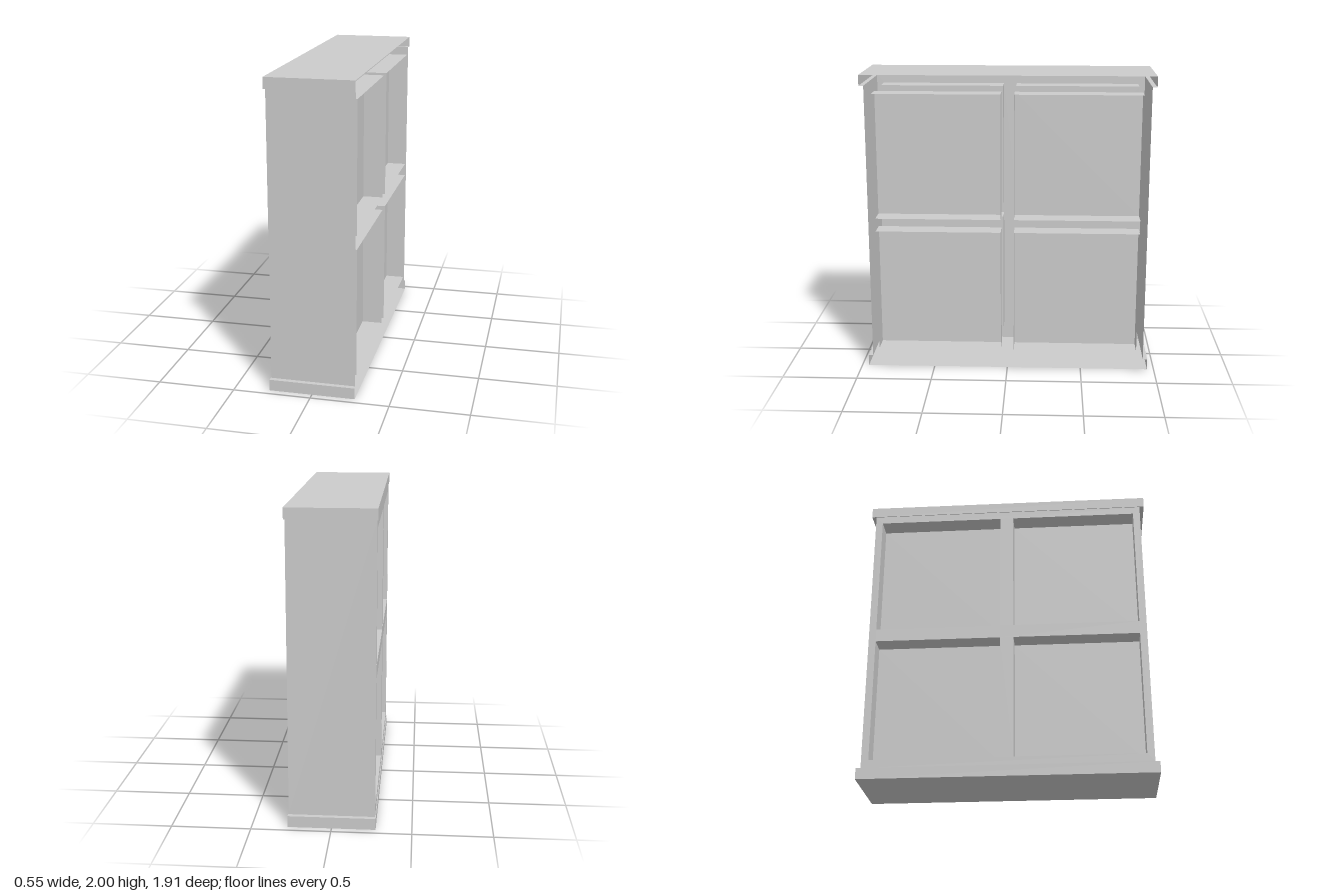
import * as THREE from 'three';

const material = new THREE.MeshStandardMaterial({ color: 0xcccccc, flatShading: true, side: THREE.DoubleSide });

// Box shell without the listed faces (0 +x, 1 -x, 2 +y, 3 -y, 4 +z, 5 -z)
function shell(name, min, max, omit) {
  const size = max.map((v, i) => v - min[i]);
  const geometry = new THREE.BoxGeometry(...size);
  const index = Array.from(geometry.index.array);
  geometry.setIndex(index.filter((_, i) => !omit.includes(Math.floor(i / 6))));
  geometry.translate(...min.map((v, i) => (v + max[i]) / 2));
  const mesh = new THREE.Mesh(geometry, material);
  mesh.name = name;
  return mesh;
}

// Counter-clockwise rectangle from (a, b) to (c, d)
function rectangle(Type, a, b, c, d) {
  return new Type([[a, b], [c, b], [c, d], [a, d]].map(p => new THREE.Vector2(...p)));
}

export function createModel() {
  const group = new THREE.Group();
  const bodyX = 0.27, bodyZ = 0.925, capX = 0.275, capZ = 0.955;
  const low = 0.073, high = 1.93, paneX = 0.137;

  // End walls of the hollow body, open towards +x
  group.add(shell('endWalls', [-bodyX, low, -bodyZ], [bodyX, high, bodyZ], [0, 1, 2, 3]));

  // Base and cap slabs, open towards +x and towards the body
  group.add(shell('base', [-capX, 0, -capZ], [capX, low, capZ], [0, 2]));
  group.add(shell('cap', [-capX, high, -capZ], [capX, 2, capZ], [0, 3]));

  // Narrow ledges where the slabs overhang the body on three sides
  for (const y of [low, high]) {
    const outline = new THREE.Shape([
      [-capX, -capZ], [capX, -capZ], [capX, -bodyZ], [-bodyX, -bodyZ],
      [-bodyX, bodyZ], [capX, bodyZ], [capX, capZ], [-capX, capZ],
    ].map(p => new THREE.Vector2(...p)));
    const ledge = new THREE.Mesh(new THREE.ShapeGeometry(outline).rotateX(y === low ? -Math.PI / 2 : Math.PI / 2), material);
    ledge.position.y = y;
    ledge.name = y === low ? 'baseLedge' : 'capLedge';
    group.add(ledge);
  }

  // Face frame on the -x side, with four window openings
  const face = rectangle(THREE.Shape, -bodyZ, low, bodyZ, high);
  for (const [z0, z1] of [[-0.878, -0.044], [0.044, 0.878]]) {
    for (const [y0, y1] of [[0.127, 0.958], [1.046, 1.878]]) {
      face.holes.push(rectangle(THREE.Path, z0, y0, z1, y1));

      // Recessed panes with their reveals, one per side
      group.add(shell('leftPane', [paneX, y0, z0], [bodyX, y1, z1], [0]));
      group.add(shell('rightPane', [-bodyX, y0, z0], [-paneX, y1, z1], [1]));
    }
  }
  const frame = new THREE.Mesh(new THREE.ShapeGeometry(face).rotateY(-Math.PI / 2), material);
  frame.position.x = -bodyX;
  frame.name = 'windowFrame';
  group.add(frame);

  return group;
}
